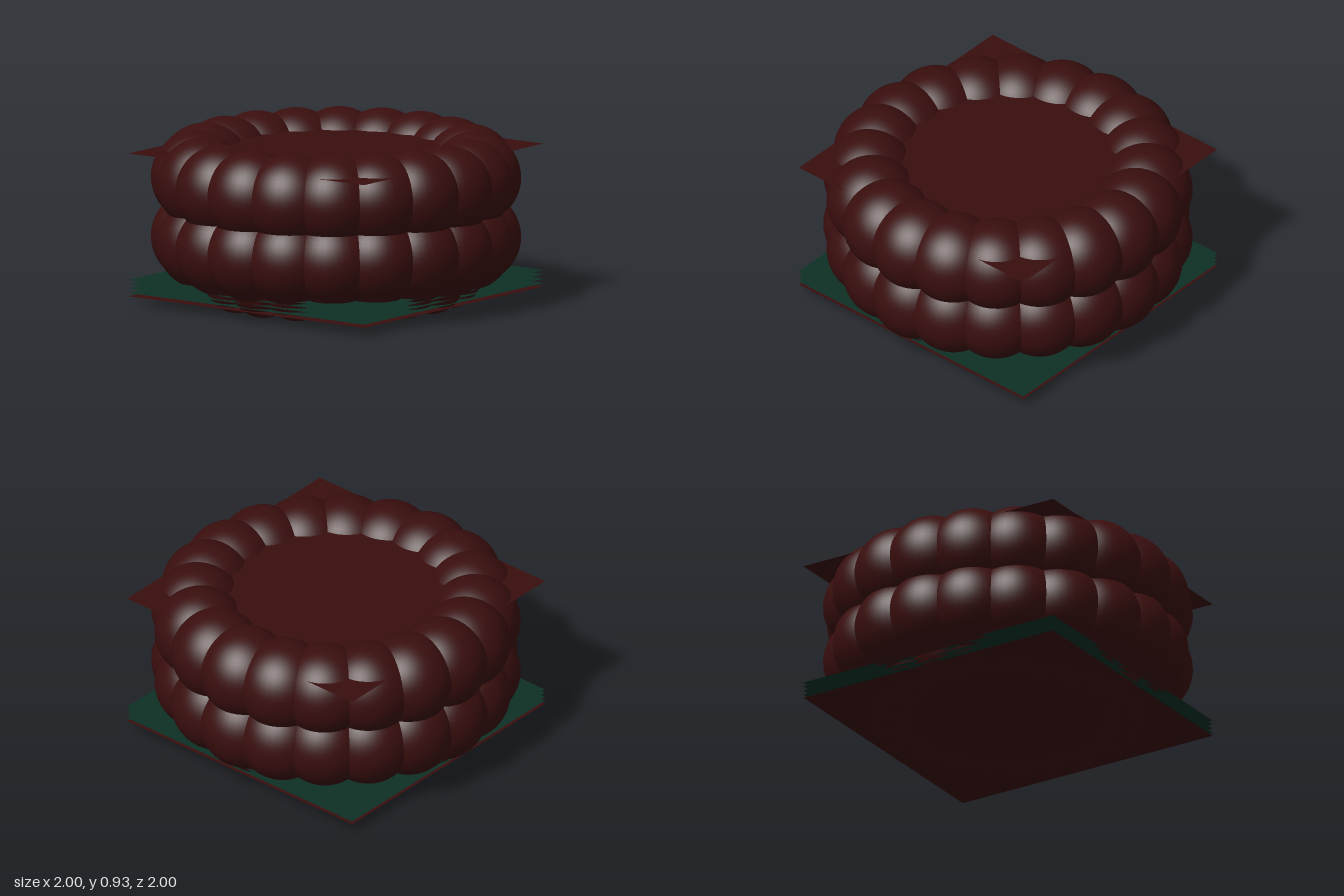
import * as THREE from 'three';

export function createModel() {
  const model = new THREE.Group();
  model.name = 'tuftedCushion';

  const maroon = new THREE.MeshStandardMaterial({ name: 'maroon', color: 0x3a0e0e, side: THREE.DoubleSide });
  const green = new THREE.MeshStandardMaterial({ name: 'darkGreen', color: 0x0e3026, side: THREE.DoubleSide });

  // Ring of twenty overlapping round lobes
  function lobeRing(name, y, ringRadius, lobeRadius) {
    const ring = new THREE.Group();
    ring.name = name;
    const geometry = new THREE.SphereGeometry(lobeRadius, 40, 28);
    for (let i = 0; i < 20; i++) {
      const angle = (i / 20) * Math.PI * 2;
      const lobe = new THREE.Mesh(geometry, maroon);
      lobe.name = 'lobe';
      lobe.position.set(Math.sin(angle) * ringRadius, y, Math.cos(angle) * ringRadius);
      ring.add(lobe);
    }
    model.add(ring);
  }

  lobeRing('upperRing', 0.68, 0.75, 0.25);
  lobeRing('lowerRing', 0.355, 0.75, 0.25);
  lobeRing('footRing', 0.18, 0.645, 0.18);

  // Thin square sheets
  const sheetGeometry = new THREE.PlaneGeometry(1.6, 1.6).rotateX(-Math.PI / 2);
  function sheet(name, y, material) {
    const mesh = new THREE.Mesh(sheetGeometry, material);
    mesh.name = name;
    mesh.position.y = y;
    model.add(mesh);
  }

  sheet('topSheet', 0.835, maroon);
  sheet('bottomSheet', 0.052, maroon);
  for (const y of [0.07, 0.095, 0.12, 0.142]) sheet('greenSheet', y, green);

  return model;
}
